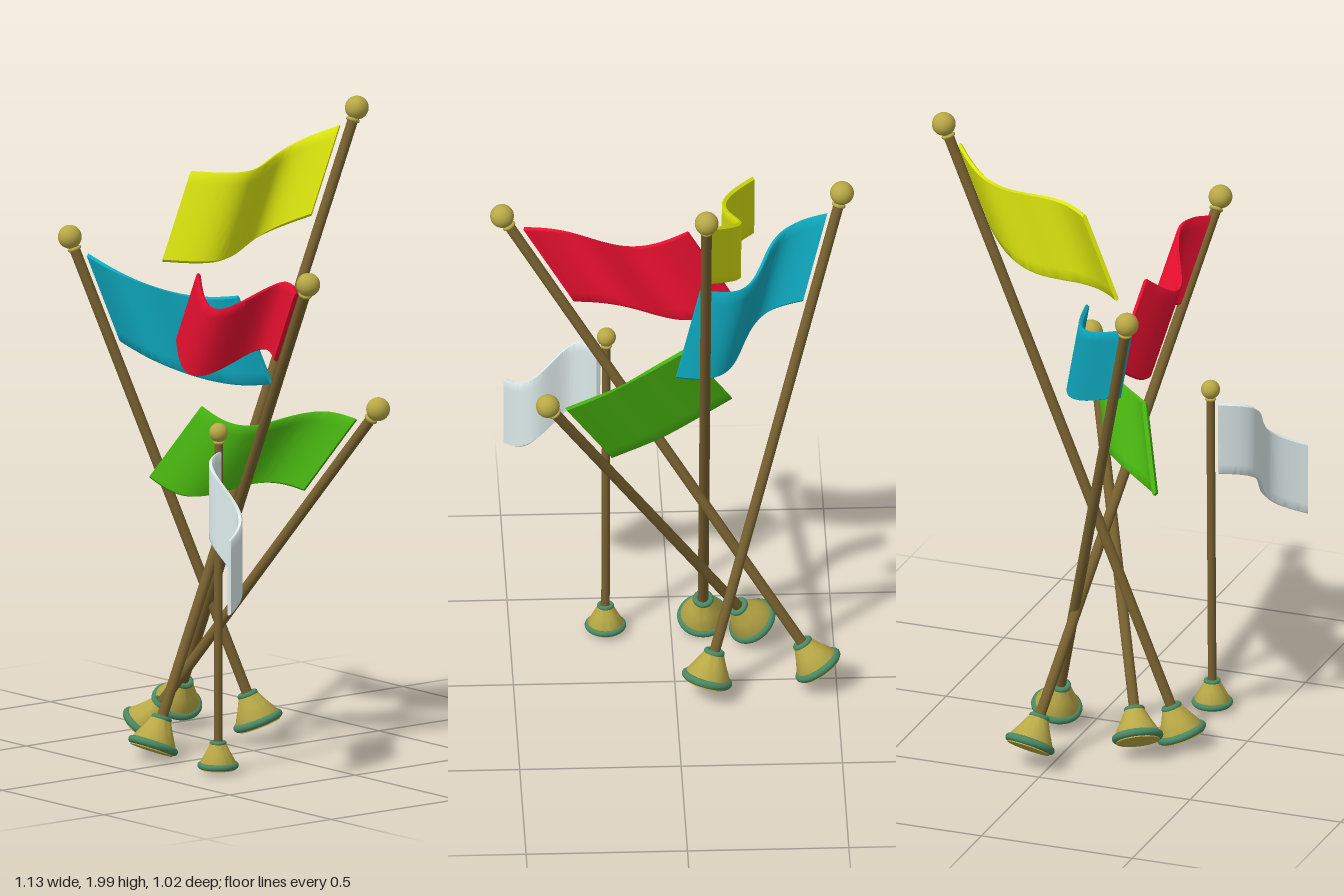
import * as THREE from 'three';
import { toCreasedNormals } from 'three/addons/utils/BufferGeometryUtils.js';

const mat = (color) => new THREE.MeshStandardMaterial({ color });
const V = (x, y, z) => new THREE.Vector3(x, y, z);
const gold = mat(0xb8a846), wood = mat(0x76602f), rimGreen = mat(0x4a8862);

function add(parent, name, geometry, material, y = 0) {
  const mesh = new THREE.Mesh(geometry, material);
  mesh.name = name;
  mesh.position.y = y;
  parent.add(mesh);
}

function ring(radius, tube) {
  return new THREE.TorusGeometry(radius, tube, 12, 40).rotateX(Math.PI / 2);
}

// Pole with bell-shaped foot and ball finial, built upright, then leaned from foot to ball
function makePole(foot, ball, s) {
  const pole = new THREE.Group();
  pole.name = 'pole';
  const dir = ball.clone().sub(foot), length = dir.length();
  const bell = [[0, 0], [0.068, 0], [0.069, 0.03], [0.048, 0.068], [0.031, 0.102], [0, 0.104]]
    .map(([r, y]) => new THREE.Vector2(r * s, y * s));
  add(pole, 'footBell', toCreasedNormals(new THREE.LatheGeometry(bell, 40), 0.7), gold);
  add(pole, 'footRim', ring(0.068 * s, 0.0125 * s), rimGreen, 0.016 * s);
  add(pole, 'footCollar', ring(0.024 * s, 0.009 * s), rimGreen, 0.104 * s);
  add(pole, 'shaft', new THREE.CylinderGeometry(0.0165 * s, 0.0165 * s, length - 0.09 * s, 20), wood, (length + 0.09 * s) / 2);
  add(pole, 'ballCollar', ring(0.016 * s, 0.006 * s), gold, length - 0.04 * s);
  add(pole, 'ball', new THREE.SphereGeometry(0.037 * s, 32, 20), gold, length);
  pole.position.copy(foot);
  pole.quaternion.setFromUnitVectors(V(0, 1, 0), dir.normalize());
  return pole;
}

// Waving cloth: a thin rounded section swept from the pole to the fly corner.
// The top edge is a straight line plus one full wave and a half-wave sag.
function makeFlag({ foot, ball, fly, wave, sag, size, color }) {
  const down = foot.clone().sub(ball).normalize();
  const drop = down.clone().multiplyScalar(0.295 * size);
  const hoist = ball.clone().addScaledVector(down, 0.045 * size);
  hoist.addScaledVector(fly.clone().sub(hoist).normalize(), 0.042 * size);
  const edge = new THREE.Curve();
  edge.getPoint = (u) => hoist.clone().lerp(fly, u)
    .addScaledVector(wave, Math.sin(2 * Math.PI * u))
    .addScaledVector(sag, Math.sin(Math.PI * u));

  // Section in (fraction of drop, thickness), going round once
  const N = 48, ROWS = 8, h = 0.0065, half = [];
  for (let k = 0; k <= ROWS; k++) half.push([0.02 + 0.96 * k / ROWS, -h]);
  half.push([1, -h * 0.4]);
  const section = [...half, ...half.map(([s, t]) => [1 - s, -t])];

  const M = section.length, pos = [], index = [];
  for (let i = 0; i <= N; i++) {
    const p = edge.getPoint(i / N);
    const n = edge.getTangent(i / N).cross(drop).normalize();
    for (const [s, t] of section) {
      pos.push(...p.clone().addScaledVector(drop, s).addScaledVector(n, t).toArray());
    }
  }
  for (let i = 0; i < N; i++) {
    for (let j = 0; j < M; j++) {
      const a = i * M + j, b = i * M + (j + 1) % M;
      index.push(a, b, a + M, b, b + M, a + M);
    }
  }
  // Hoist and fly ends
  for (let j = 1; j < M - 1; j++) {
    index.push(0, j + 1, j, N * M, N * M + j, N * M + j + 1);
  }
  const g = new THREE.BufferGeometry();
  g.setAttribute('position', new THREE.Float32BufferAttribute(pos, 3));
  g.setIndex(index);
  const flag = new THREE.Mesh(toCreasedNormals(g, 0.8), mat(color));
  flag.name = 'flag';
  return flag;
}

const FLAGS = [
  { name: 'yellowFlag', color: 0xdae40e, size: 1,
    foot: V(-0.1, 0.033, 0.325), ball: V(-0.08, 1.965, -0.477),
    fly: V(-0.245, 1.805, 0.05), wave: V(-0.053, 0, 0), sag: V(0, -0.045, 0) },
  { name: 'cyanFlag', color: 0x0ea8be, size: 1,
    foot: V(-0.092, 0.06, -0.1), ball: V(-0.53, 1.585, 0.302),
    fly: V(-0.08, 1.43, 0), wave: V(0.03, 0.015, 0.04), sag: V(0, -0.042, 0.008) },
  { name: 'redFlag', color: 0xe60f2f, size: 1,
    foot: V(-0.45, 0.075, -0.055), ball: V(0.527, 1.585, 0.208),
    fly: V(-0.045, 1.53, 0.18), wave: V(0, 0.05, -0.045), sag: V(0, -0.048, 0.005) },
  { name: 'greenFlag', color: 0x48b410, size: 1,
    foot: V(-0.257, 0.066, 0.235), ball: V(0.4, 1.125, -0.173),
    fly: V(-0.04, 1.11, 0.17), wave: V(-0.018, 0.025, -0.026), sag: V(0, -0.022, 0.008) },
  { name: 'whiteFlag', color: 0xdce9e9, size: 0.8,
    foot: V(0.203, 0.018, 0.305), ball: V(0.2, 1.08, 0.3),
    fly: V(0.505, 0.81, 0.505), wave: V(-0.007, 0.018, 0.043), sag: V(0, 0.02, -0.008) },
];

export function createModel() {
  const model = new THREE.Group();
  model.name = 'flagCluster';
  for (const f of FLAGS) {
    const group = new THREE.Group();
    group.name = f.name;
    group.add(makePole(f.foot, f.ball, f.size), makeFlag(f));
    model.add(group);
  }
  return model;
}
